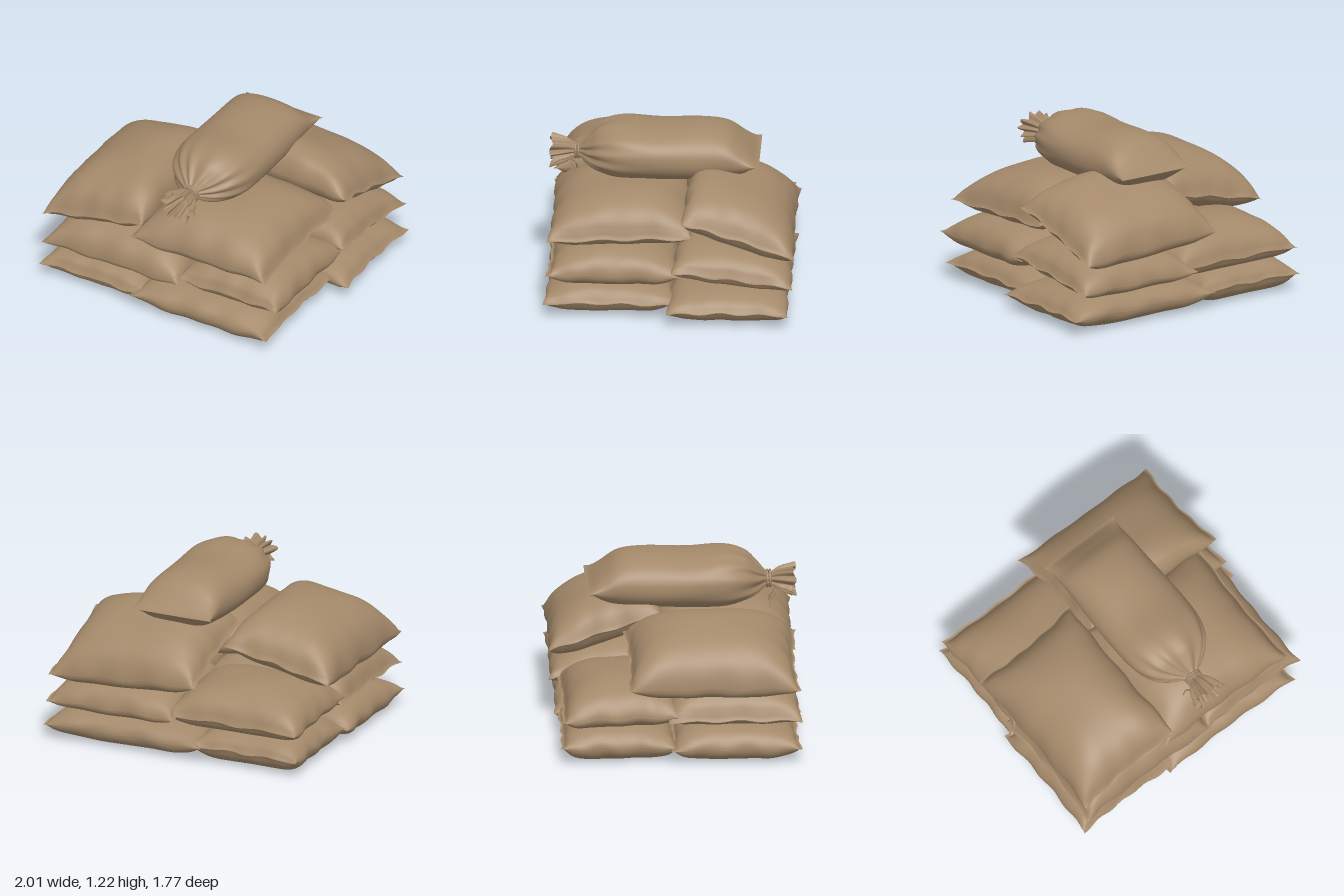
import * as THREE from 'three';

const burlap = new THREE.MeshStandardMaterial({ color: 0xa4896a, side: THREE.DoubleSide });
burlap.name = 'burlap';

// Closes a grid of points into a smooth surface; point(i, j) returns [x, y, z]
function gridGeometry(rows, cols, point, flip = false) {
  const pos = [], index = [];
  for (let i = 0; i <= rows; i++) for (let j = 0; j <= cols; j++) pos.push(...point(i / rows, j / cols));
  for (let i = 0; i < rows; i++) for (let j = 0; j < cols; j++) {
    const a = i * (cols + 1) + j, b = a + 1, c = a + cols + 1, d = c + 1;
    if (flip) index.push(a, c, b, b, c, d);
    else index.push(a, b, c, b, d, c);
  }
  const g = new THREE.BufferGeometry();
  g.setAttribute('position', new THREE.Float32BufferAttribute(pos, 3));
  g.setIndex(index);
  g.computeVertexNormals();
  return g;
}

function add(parent, geometry, name) {
  const mesh = new THREE.Mesh(geometry, burlap);
  mesh.name = name;
  parent.add(mesh);
  return mesh;
}

// Filled flat sack: two bulging sheets that meet in a wavy seam, with a stitched hem at two ends
function sack({ name, x, z, y, up, down, tx = 0, tz = 0, hem = 'x', seed = 0 }) {
  const group = new THREE.Group();
  group.name = name;
  const cx = (x[0] + x[1]) / 2, a = (x[1] - x[0]) / 2;
  const cz = (z[0] + z[1]) / 2, b = (z[1] - z[0]) / 2;
  const hemX = hem === 'x' ? 1 - 0.025 / a : 1, hemZ = hem === 'z' ? 1 - 0.025 / b : 1;
  const bulge = (t, p) => Math.max(0, 1 - Math.pow(Math.min(1, Math.abs(t)), p));

  const sheet = (height, power) => (s, t) => {
    const u = Math.sin((s - 0.5) * Math.PI), v = Math.sin((t - 0.5) * Math.PI);
    const edge = Math.min(1, Math.pow(u, 8) + Math.pow(v, 8));
    const h = Math.sqrt(bulge(u / hemX, power) * bulge(v / hemZ, power));
    // soft dents, plus creases running in from the seam
    const dents = 1 + 0.035 * Math.sin(4 * u + seed) * Math.sin(3.5 * v + 2 * seed)
      + 0.06 * edge * (Math.sin(13 * u + seed) + Math.sin(15 * v - seed));
    const wave = edge * (0.007 * Math.sin(8 * u + seed) + 0.007 * Math.sin(9 * v + 2 * seed));
    const px = a * u * (1 - 0.045 * (1 - v * v)) + 0.006 * edge * Math.sin(11 * v + seed);
    const pz = b * v * (1 - 0.045 * (1 - u * u)) + 0.006 * edge * Math.sin(12 * u + seed);
    const py = y + tx * px + tz * pz + wave + height * h * dents;
    return [cx + px, Math.max(0.002, py), cz + pz];
  };
  add(group, gridGeometry(40, 40, sheet(up, 3)), 'upperSheet');
  add(group, gridGeometry(40, 40, sheet(-down, 4.5), true), 'lowerSheet');
  return group;
}

// Round sack with a flat sewn back end and a gathered, tied neck at the front
function tiedSack() {
  const group = new THREE.Group();
  group.name = 'tiedSack';
  const cx = 0.115;
  // z, half width, centre height, half height, pleat depth
  const stations = [
    [-0.61, 0.315, 0.99, 0.002, 0], [-0.58, 0.3, 0.99, 0.02, 0], [-0.5, 0.293, 0.99, 0.1, 0],
    [-0.38, 0.295, 1.015, 0.17, 0], [-0.2, 0.3, 1.02, 0.192, 0], [0.1, 0.31, 1.01, 0.192, 0],
    [0.35, 0.3, 1.02, 0.2, 0.01], [0.5, 0.245, 1.02, 0.16, 0.04], [0.59, 0.15, 1.0, 0.1, 0.1],
    [0.65, 0.06, 0.99, 0.05, 0.12], [0.69, 0.05, 0.985, 0.045, 0.12], [0.75, 0.08, 0.985, 0.075, 0.16],
    [0.85, 0.115, 0.98, 0.1, 0.2],
  ];
  const shape = new THREE.CatmullRomCurve3(stations.map(s => new THREE.Vector3(s[0], s[1], s[2])), false, 'catmullrom');
  const depth = new THREE.CatmullRomCurve3(stations.map(s => new THREE.Vector3(s[3], s[4], 0)), false, 'catmullrom');
  const round = (c, p) => Math.sign(c) * Math.pow(Math.abs(c), p);
  const skin = gridGeometry(72, 96, (s, t) => {
    const p = shape.getPoint(s), q = depth.getPoint(s), ang = t * Math.PI * 2;
    const pleat = 1 + q.y * Math.sin(11 * ang + Math.sin(3 * ang));
    const dent = 1 + 0.015 * Math.sin(9 * p.x) * Math.sin(3 * ang);
    return [
      cx + p.y * pleat * dent * round(Math.cos(ang), 0.9),
      p.z + Math.max(0.001, q.x) * pleat * dent * round(Math.sin(ang), 0.9),
      p.x + (p.x > 0.8 ? 0.015 * Math.sin(5 * ang) : 0),
    ];
  }, true);
  add(group, skin, 'tiedSackBody');

  // Cord around the neck with two hanging ends
  for (const z of [0.662, 0.682]) {
    add(group, new THREE.TorusGeometry(0.057, 0.009, 8, 24), 'neckCord').position.set(cx, 0.987, z);
  }
  for (const [dx, drop] of [[-0.1, 0.78], [0.03, 0.8]]) {
    const path = new THREE.CatmullRomCurve3([
      new THREE.Vector3(cx, 0.94, 0.69), new THREE.Vector3(cx + dx * 0.5, 0.9, 0.715),
      new THREE.Vector3(cx + dx * 0.7, 0.85, 0.68), new THREE.Vector3(cx + dx, drop, 0.68),
    ]);
    add(group, new THREE.TubeGeometry(path, 16, 0.006, 6), 'cordEnd');
  }
  return group;
}

export function createModel() {
  const model = new THREE.Group();
  model.name = 'sandbagStack';
  const sacks = [
    // bottom layer
    { name: 'bottomFrontRightSack', x: [-1, -0.19], z: [-0.06, 0.86], y: 0.12, up: 0.15, down: 0.125, hem: 'z' },
    { name: 'bottomFrontLeftSack', x: [-0.26, 0.86], z: [-0.03, 0.88], y: 0.12, up: 0.155, down: 0.125, hem: 'x' },
    { name: 'bottomBackLeftSack', x: [-0.22, 1], z: [-0.84, 0.01], y: 0.12, up: 0.14, down: 0.125, hem: 'x' },
    { name: 'bottomBackRightSack', x: [-0.96, -0.14], z: [-0.83, 0.0], y: 0.12, up: 0.15, down: 0.125, hem: 'z' },
    // middle layer
    { name: 'middleFrontRightSack', x: [-0.98, 0.14], z: [-0.08, 0.86], y: 0.32, up: 0.25, down: 0.08, hem: 'x' },
    { name: 'middleFrontLeftSack', x: [0.11, 0.92], z: [-0.09, 0.86], y: 0.36, up: 0.18, down: 0.11, hem: 'z' },
    { name: 'middleBackLeftSack', x: [-0.04, 0.96], z: [-0.87, -0.02], y: 0.36, up: 0.18, down: 0.1, tz: 0.12, hem: 'x' },
    { name: 'middleBackRightSack', x: [-0.95, 0.06], z: [-0.82, 0.02], y: 0.33, up: 0.22, down: 0.1, tz: 0.04, hem: 'z' },
    // upper layer
    { name: 'upperFrontRightSack', x: [-0.98, -0.18], z: [-0.36, 0.85], y: 0.635, up: 0.29, down: 0.13, tx: 0.2, hem: 'z' },
    { name: 'upperFrontLeftSack', x: [-0.28, 0.83], z: [-0.16, 0.85], y: 0.6, up: 0.27, down: 0.1, tz: -0.04, hem: 'x' },
    { name: 'upperBackLeftSack', x: [-0.21, 0.93], z: [-0.88, -0.09], y: 0.675, up: 0.25, down: 0.13, tx: -0.06, tz: 0.33, hem: 'x' },
  ];
  sacks.forEach((s, i) => model.add(sack({ ...s, seed: i * 1.7 })));
  model.add(tiedSack());
  return model;
}
